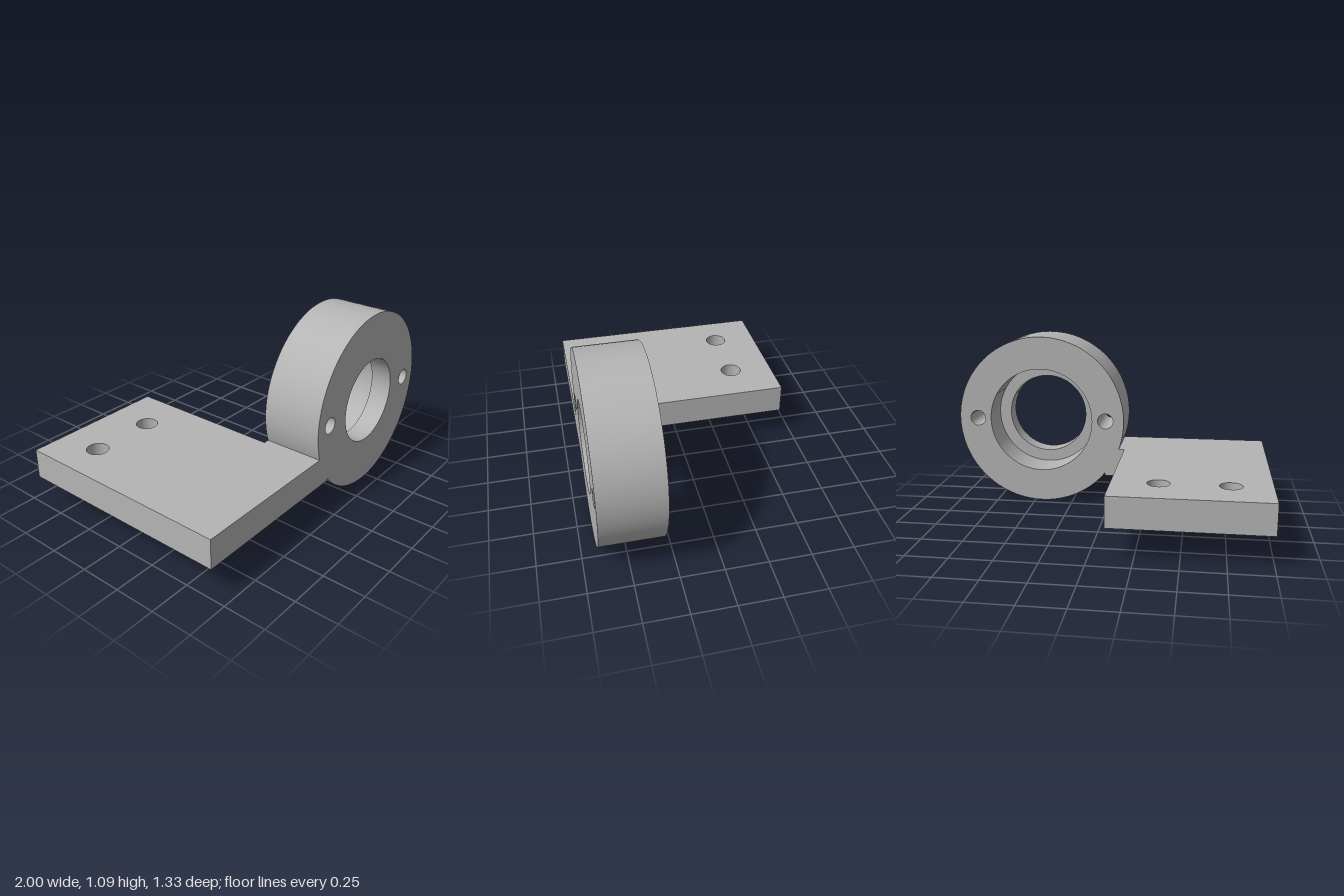
import * as THREE from 'three';

const SEG = 96;
// collar centre and radii
const CX = 0.455, CY = 0.545, R = 0.545, BORE = 0.26, COUNTERBORE = 0.337;
const Z_BACK = 0.303, Z_LEDGE = 0.538, Z_FRONT = 0.667;
// plate
const X_LEFT = -1, X_EDGE = -0.095, X_STUB = 0.03, Y_LOW = 0.185, Y_HIGH = 0.365, Z_REAR = -0.667;
// where the stub meets the round of the collar
const yStub = CY - Math.sqrt(R * R - (X_STUB - CX) ** 2);
const xTop = CX - Math.sqrt(R * R - (Y_HIGH - CY) ** 2);
const SCREWS = [[0.03, 0.549], [0.88, 0.549]];
const PLATE_HOLES = [[-0.765, -0.4], [-0.365, -0.4]];

function circle(x, y, r) {
  return new THREE.Path().absarc(x, y, r, 0, Math.PI * 2, true);
}

// flat face from an outline with round holes; flip turns it to face backwards
function face(shape, flip) {
  const g = new THREE.ShapeGeometry(shape, SEG / 2);
  if (flip) {
    const idx = g.index.array;
    for (let i = 0; i < idx.length; i += 3) [idx[i], idx[i + 1]] = [idx[i + 1], idx[i]];
    g.computeVertexNormals();
  }
  return g;
}

// surface of revolution along y; descending points face inwards
function turned(r0, y0, r1, y1, start = 0, length = Math.PI * 2) {
  return new THREE.LatheGeometry([new THREE.Vector2(r0, y0), new THREE.Vector2(r1, y1)], SEG, start, length);
}

export function createModel() {
  const model = new THREE.Group();
  const steel = new THREE.MeshStandardMaterial({ color: 0xb4b4b4 });
  steel.name = 'plain grey';
  steel.side = THREE.DoubleSide;

  const collar = new THREE.Group();
  collar.name = 'collar';
  const plate = new THREE.Group();
  plate.name = 'mountingPlate';
  model.add(collar, plate);

  const add = (parent, name, geometry) => {
    const mesh = new THREE.Mesh(geometry, steel);
    mesh.name = name;
    parent.add(mesh);
    return mesh;
  };

  // collar faces: the front one runs on flush into the plate
  const a0 = Math.atan2(yStub - CY, X_STUB - CX);
  const a1 = Math.atan2(Y_HIGH - CY, xTop - CX) + Math.PI * 2;
  const collarFace = (xEnd, bore, flip) => {
    const s = new THREE.Shape();
    s.moveTo(xEnd, Y_HIGH);
    s.lineTo(xEnd, Y_LOW);
    s.lineTo(X_STUB, Y_LOW);
    s.lineTo(X_STUB, yStub);
    s.absarc(CX, CY, R, a0, a1, false);
    s.holes.push(circle(CX, CY, bore));
    for (const [x, y] of SCREWS) s.holes.push(circle(x, y, 0.05));
    return face(s, flip);
  };
  add(collar, 'frontFace', collarFace(X_LEFT, BORE, false)).position.z = Z_FRONT;
  add(collar, 'backFace', collarFace(X_EDGE, COUNTERBORE, true)).position.z = Z_BACK;

  // collar rim, stepped bore and screw holes, turned about z
  const turnedZ = (name, x, y, ...profile) => {
    add(collar, name, turned(...profile).rotateX(Math.PI / 2)).position.set(x, y, 0);
  };
  turnedZ('rim', CX, CY, R, Z_BACK, R, Z_FRONT, a0 + Math.PI / 2, a1 - a0);
  turnedZ('bore', CX, CY, BORE, Z_FRONT, BORE, Z_LEDGE);
  turnedZ('boreLedge', CX, CY, BORE, Z_LEDGE, COUNTERBORE, Z_LEDGE);
  turnedZ('counterbore', CX, CY, COUNTERBORE, Z_LEDGE, COUNTERBORE, Z_BACK);
  for (const [x, y] of SCREWS) turnedZ('screwHole', x, y, 0.05, Z_FRONT, 0.05, Z_BACK);

  // plate top and bottom, with the stub reaching into the collar
  const plateFace = (xEnd, flip) => {
    const s = new THREE.Shape([
      [X_LEFT, -Z_FRONT], [xEnd, -Z_FRONT], [xEnd, -Z_BACK],
      [X_EDGE, -Z_BACK], [X_EDGE, -Z_REAR], [X_LEFT, -Z_REAR],
    ].map(([x, y]) => new THREE.Vector2(x, y)));
    for (const [x, z] of PLATE_HOLES) s.holes.push(circle(x, -z, 0.065));
    return face(s, flip).rotateX(-Math.PI / 2);
  };
  add(plate, 'plateTop', plateFace(xTop, false)).position.y = Y_HIGH;
  add(plate, 'plateBottom', plateFace(X_STUB, true)).position.y = Y_LOW;
  for (const [x, z] of PLATE_HOLES) {
    add(plate, 'boltHole', turned(0.065, Y_HIGH, 0.065, Y_LOW)).position.set(x, 0, z);
  }

  // upright plate edges
  const edge = (name, width, y0, y1, x, z, turn) => {
    const mesh = add(plate, name, new THREE.PlaneGeometry(width, y1 - y0));
    mesh.position.set(x, (y0 + y1) / 2, z);
    mesh.rotation.y = turn;
  };
  edge('outerEdge', Z_FRONT - Z_REAR, Y_LOW, Y_HIGH, X_LEFT, 0, -Math.PI / 2);
  edge('rearEdge', X_EDGE - X_LEFT, Y_LOW, Y_HIGH, (X_EDGE + X_LEFT) / 2, Z_REAR, Math.PI);
  edge('innerEdge', Z_BACK - Z_REAR, Y_LOW, Y_HIGH, X_EDGE, (Z_BACK + Z_REAR) / 2, Math.PI / 2);
  edge('stubEnd', Z_FRONT - Z_BACK, Y_LOW, yStub, X_STUB, (Z_BACK + Z_FRONT) / 2, Math.PI / 2);

  return model;
}
